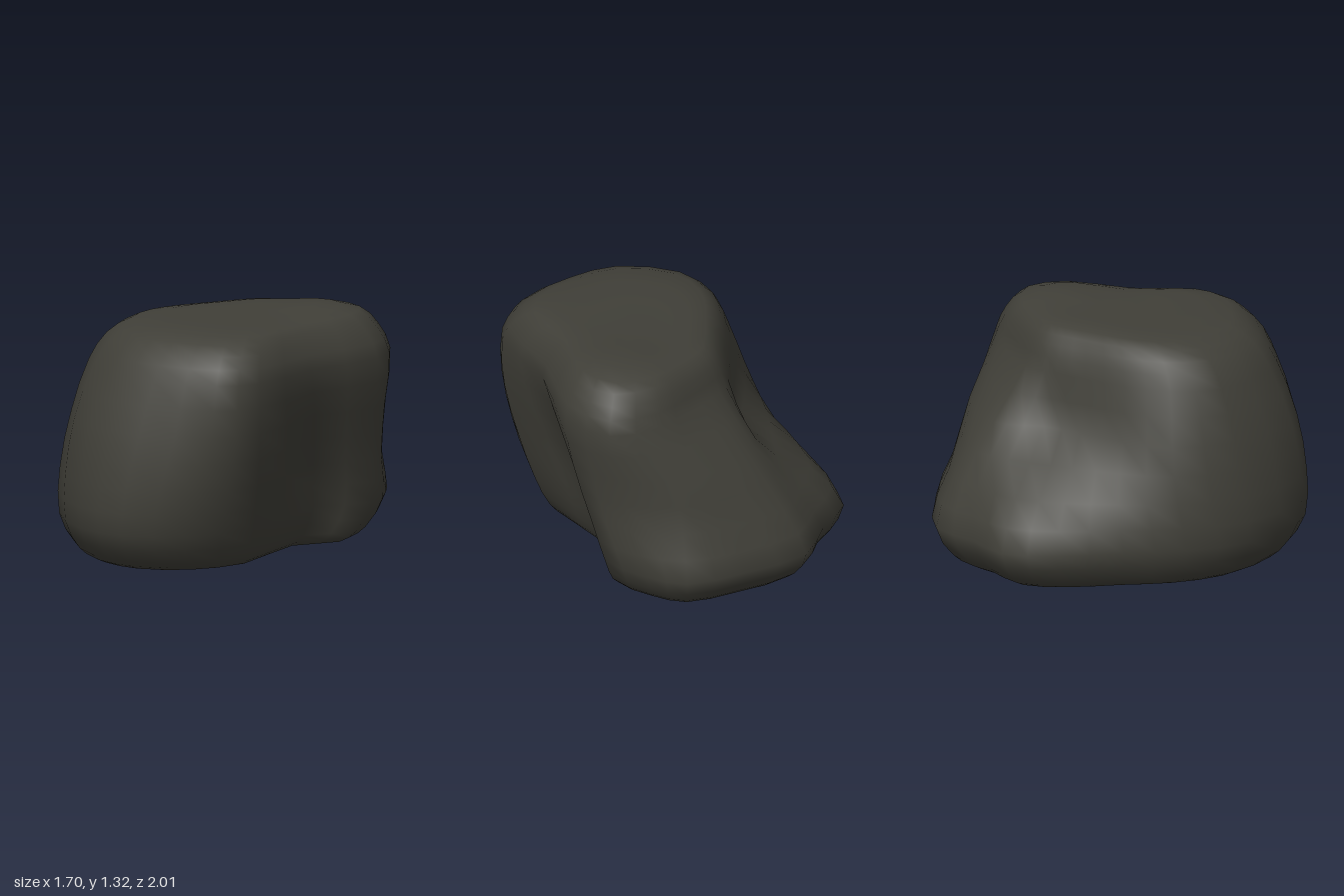
import * as THREE from 'three';
import { mergeVertices } from 'three/addons/utils/BufferGeometryUtils.js';

// Horizontal outlines as x, z pairs: back, +x side, front, -x side
const FOOT = [.15, -1, .34, -.88, .52, -.65, .43, -.32, .69, .28, .63, .68, .39, .94, .1, .99,
  -.28, .84, -.52, .56, -.66, .25, -.81, -.08, -.85, -.37, -.69, -.58, -.54, -.83, -.18, -.95];
const WAIST = [.15, -.9, .42, -.79, .59, -.6, .5, -.27, .77, .31, .7, .68, .42, .93, .12, 1,
  -.3, .82, -.52, .51, -.6, .2, -.66, -.08, -.67, -.35, -.54, -.6, -.43, -.77, -.1, -.88];
const CHEST = [.18, -.84, .48, -.77, .67, -.55, .63, -.18, .84, .35, .76, .62, .45, .86, .12, .95,
  -.28, .76, -.46, .46, -.44, .18, -.37, -.08, -.31, -.3, -.34, -.5, -.26, -.65, -.04, -.79];
const SHOULDER = [.23, -.74, .52, -.77, .71, -.54, .73, -.08, .85, .36, .76, .58, .45, .76, .14, .83,
  -.24, .67, -.36, .42, -.35, .16, -.29, -.08, -.25, -.25, -.2, -.39, -.1, -.5, .05, -.62];

// Centres the top and bottom taper towards
const TOP = { x: .25, z: -.15 };
const BASE = { x: -.07, z: 0 };

// Each ring: outline, height, scale, centre of scaling
const RINGS = [
  [FOOT, 0, 0, BASE], [FOOT, 0, .5, BASE], [FOOT, .012, .8, BASE], [FOOT, .07, .9, BASE],
  [FOOT, .23, 1, BASE], [WAIST, .48, 1, BASE], [CHEST, .78, 1, BASE], [SHOULDER, 1.06, 1, BASE],
  [SHOULDER, 1.2, .9, TOP], [SHOULDER, 1.28, .75, TOP], [SHOULDER, 1.295, .4, TOP], [SHOULDER, 1.295, 0, TOP],
];
const AROUND = 32;
const STEPS = (RINGS.length - 1) * 2;

// Closed smooth outline sampled at one height
function ringPoints([outline, y, scale, centre]) {
  const pts = [];
  for (let i = 0; i < outline.length; i += 2) {
    pts.push(new THREE.Vector3(outline[i], y, outline[i + 1]));
  }
  const curve = new THREE.CatmullRomCurve3(pts, true);
  return Array.from({ length: AROUND }, (_, i) => {
    const p = curve.getPoint(i / AROUND);
    return new THREE.Vector3(
      centre.x + (p.x - centre.x) * scale, y, centre.z + (p.z - centre.z) * scale);
  });
}

function boulderGeometry() {
  const rings = RINGS.map(ringPoints);
  const positions = [];
  const index = [];
  for (let i = 0; i < AROUND; i++) {
    const column = new THREE.CatmullRomCurve3(rings.map((r) => r[i]));
    for (let j = 0; j <= STEPS; j++) {
      const p = column.getPoint(j / STEPS);
      // Low hump on the back of the top
      if (p.y > 1.2) p.y += .03 * Math.exp(-((p.x - .37) ** 2 + (p.z + .43) ** 2) / .05);
      positions.push(p.x, Math.max(0, p.y), p.z);
    }
  }
  const at = (i, j) => (i % AROUND) * (STEPS + 1) + j;
  for (let i = 0; i < AROUND; i++) {
    for (let j = 0; j < STEPS; j++) {
      if (j < STEPS - 1) index.push(at(i, j), at(i, j + 1), at(i + 1, j + 1));
      if (j > 0) index.push(at(i, j), at(i + 1, j + 1), at(i + 1, j));
    }
  }
  const geometry = new THREE.BufferGeometry();
  geometry.setAttribute('position', new THREE.Float32BufferAttribute(positions, 3));
  geometry.setIndex(index);
  const merged = mergeVertices(geometry, 1e-4);
  merged.computeVertexNormals();
  return merged;
}

export function createModel() {
  const group = new THREE.Group();
  group.name = 'rock';
  const stone = new THREE.MeshStandardMaterial({ color: 0x403f38 });
  stone.name = 'dark stone';
  const boulder = new THREE.Mesh(boulderGeometry(), stone);
  boulder.name = 'boulder';
  group.add(boulder);
  return group;
}
